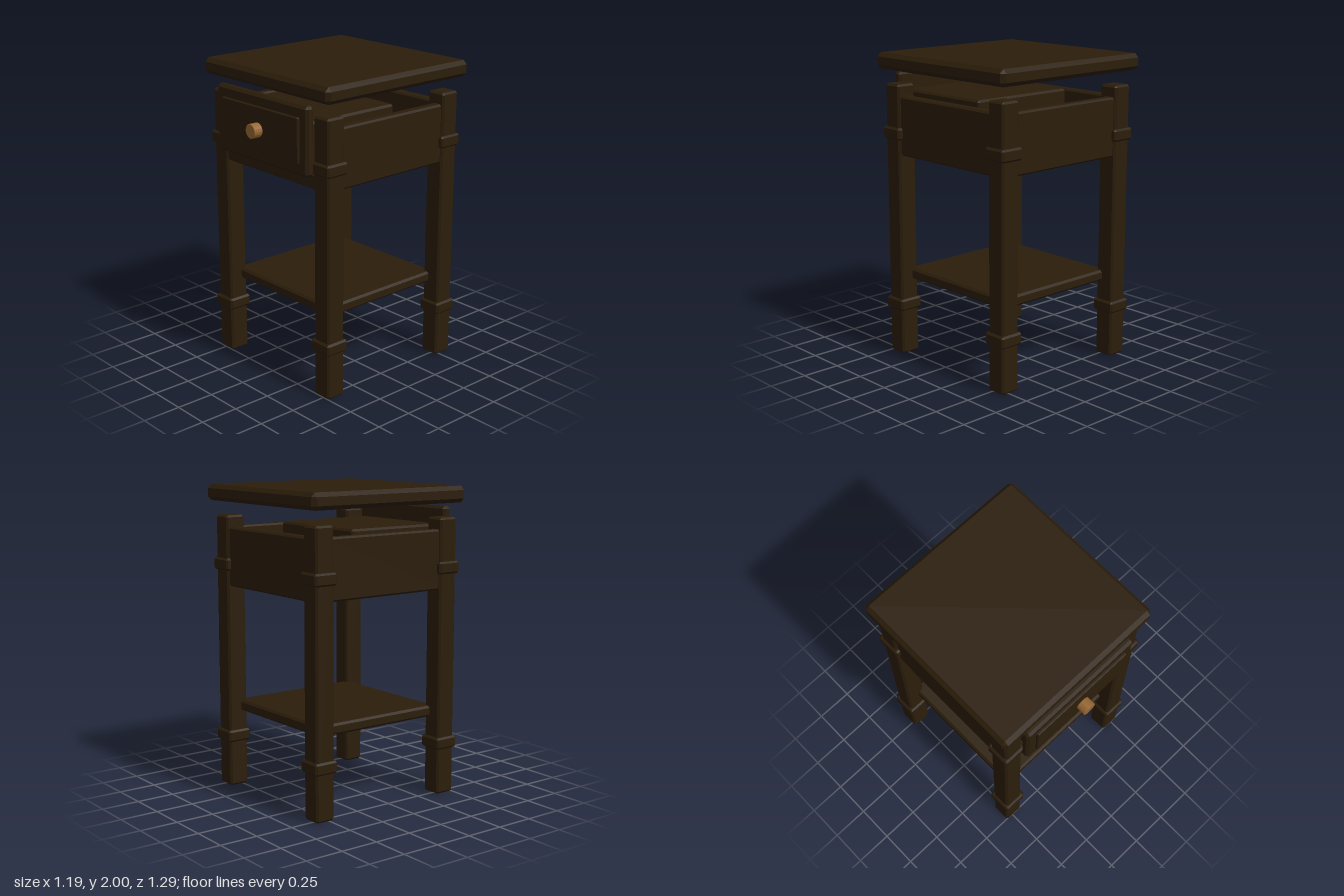
import * as THREE from 'three';
import { ConvexGeometry } from 'three/addons/geometries/ConvexGeometry.js';

const darkWood = new THREE.MeshStandardMaterial({ color: 0x2b1d0a });
const knobWood = new THREE.MeshStandardMaterial({ color: 0x966632 });

// Box with flat chamfers on every edge, given as [min, max] per axis
function chamferBox(name, xs, ys, zs, c) {
  const points = [];
  for (let i = 0; i < 8; i++) {
    const pick = [i & 1, (i >> 1) & 1, (i >> 2) & 1];
    const corner = [xs[pick[0]], ys[pick[1]], zs[pick[2]]];
    // each corner becomes three points, one on each adjoining face
    for (let face = 0; face < 3; face++) {
      const p = corner.map((v, axis) => (axis === face ? v : v + (pick[axis] ? -c : c)));
      points.push(new THREE.Vector3(...p));
    }
  }
  const mesh = new THREE.Mesh(new ConvexGeometry(points), darkWood);
  mesh.name = name;
  return mesh;
}

const around = (centre, half) => [centre - half, centre + half];

export function createModel() {
  const model = new THREE.Group();
  model.name = 'nightstand';

  // Raised table top
  model.add(chamferBox('tableTop', [-0.595, 0.595], [1.895, 2], [-0.645, 0.545], 0.026));

  // Four square legs, each with two collars
  for (const x of [-0.485, 0.485]) {
    for (const z of [-0.532, 0.438]) {
      const leg = new THREE.Group();
      leg.name = (z > 0 ? 'front' : 'back') + (x > 0 ? 'LeftLeg' : 'RightLeg');
      leg.add(chamferBox('legPost', around(x, 0.067), [0, 1.803], around(z, 0.067), 0.013));
      leg.add(chamferBox('lowerCollar', around(x, 0.082), [0.302, 0.38], around(z, 0.082), 0.012));
      leg.add(chamferBox('upperCollar', around(x, 0.082), [1.447, 1.526], around(z, 0.082), 0.012));
      model.add(leg);
    }
  }

  // Low shelf between the legs
  model.add(chamferBox('shelf', [-0.465, 0.465], [0.506, 0.578], [-0.512, 0.416], 0.014));

  // Apron: two sides, back and a low rail under the drawer
  for (const s of [-1, 1]) {
    model.add(chamferBox('sideApron', around(s * 0.498, 0.036), [1.345, 1.73], [-0.51, 0.42], 0.012));
  }
  model.add(chamferBox('backApron', [-0.46, 0.46], [1.345, 1.73], [-0.582, -0.51], 0.012));
  model.add(chamferBox('frontRail', [-0.46, 0.46], [1.345, 1.44], [0.42, 0.495], 0.012));

  // Drawer: solid body, bevelled front with a raised panel, and a knob
  const drawer = new THREE.Group();
  drawer.name = 'drawer';
  drawer.add(chamferBox('drawerBody', [-0.38, 0.38], [1.425, 1.75], [-0.2, 0.505], 0.014));
  drawer.add(chamferBox('drawerFront', [-0.432, 0.432], [1.433, 1.862], [0.503, 0.565], 0.017));
  drawer.add(chamferBox('drawerPanel', [-0.365, 0.365], [1.506, 1.79], [0.55, 0.581], 0.006));

  const profile = [[0, 0], [0.043, 0], [0.046, 0.003], [0.046, 0.059], [0.043, 0.062], [0, 0.062]];
  const knobShape = new THREE.LatheGeometry(profile.map(([r, h]) => new THREE.Vector2(r, h)), 16)
    .toNonIndexed();
  knobShape.computeVertexNormals();
  knobShape.rotateX(Math.PI / 2);
  const knob = new THREE.Mesh(knobShape, knobWood);
  knob.name = 'knob';
  knob.position.set(0, 1.648, 0.583);
  drawer.add(knob);
  model.add(drawer);

  return model;
}
